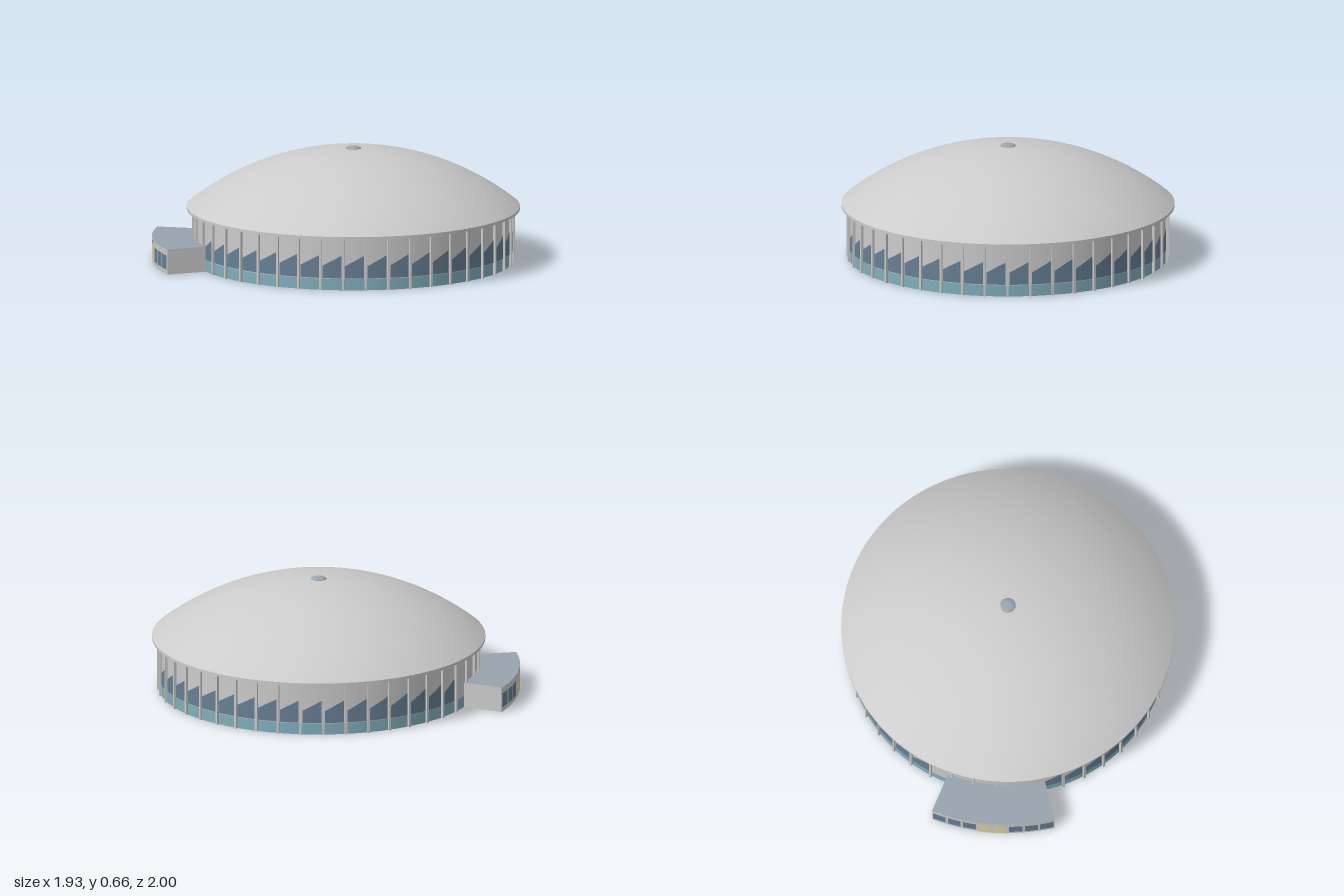
import * as THREE from 'three';

const CX = 0.01, CZ = -0.052;      // centre of the round hall
const WALL_R = 0.906, WALL_H = 0.3, BAND_H = 0.065;
const ROOF_R = 0.948, EAVE_Y = 0.316, APEX_Y = 0.65;
const BAYS = 44, STEP = (Math.PI * 2) / BAYS;
const ANNEX_R = 1.145, ANNEX_H = 0.145;
const rad = THREE.MathUtils.degToRad;
const A0 = rad(-58.7), A1 = rad(-23.2); // annex sector, measured from +z towards +x

const mat = (color) => new THREE.MeshStandardMaterial({ color, side: THREE.DoubleSide });

// Surface from a rule f(u, v) -> [angle, radius, y]
function surface(nu, nv, f) {
  const g = new THREE.PlaneGeometry(1, 1, nu, nv);
  const p = g.attributes.position;
  for (let i = 0; i < p.count; i++) {
    const [a, r, y] = f(p.getX(i) + 0.5, p.getY(i) + 0.5);
    p.setXYZ(i, Math.sin(a) * r, y, Math.cos(a) * r);
  }
  g.computeVertexNormals();
  return g;
}
const lerp = THREE.MathUtils.lerp;

// Curved upright panel whose top may slope from yl to yr
const panel = (r, a0, a1, yb, yl, yr = yl, n = 4) =>
  surface(n, 1, (u, v) => [lerp(a0, a1, u), r, lerp(yb, lerp(yl, yr, u), v)]);

export function createModel() {
  const model = new THREE.Group();
  model.name = 'roundHall';
  model.position.set(CX, 0, CZ);

  const grey = mat(0xcccccc), teal = mat(0x80aebb), glass = mat(0x667f94);
  const slate = mat(0x98a4ae), cream = mat(0xe0d2a8);
  const add = (parent, name, geometry, material) => {
    const m = new THREE.Mesh(geometry, material);
    m.name = name;
    parent.add(m);
    return m;
  };

  // Drum wall with coloured base band
  const drum = (h) => new THREE.CylinderGeometry(WALL_R, WALL_R, h, BAYS * 4, 1, true);
  add(model, 'baseBand', drum(BAND_H), teal).position.y = BAND_H / 2;
  add(model, 'drumWall', drum(WALL_H - BAND_H), grey).position.y = (WALL_H + BAND_H) / 2;

  // Domed roof as a spherical cap
  const rise = APEX_Y - EAVE_Y;
  const sphereR = (ROOF_R ** 2 + rise ** 2) / (2 * rise);
  const half = Math.asin(ROOF_R / sphereR);
  const dome = new THREE.SphereGeometry(sphereR, 128, 32, 0, Math.PI * 2, 0, half);
  add(model, 'domeRoof', dome, grey).position.y = APEX_Y - sphereR;

  // Eave: fascia and soffit
  const fascia = new THREE.CylinderGeometry(ROOF_R, ROOF_R, EAVE_Y - WALL_H, 128, 1, true);
  add(model, 'eaveFascia', fascia, grey).position.y = (EAVE_Y + WALL_H) / 2;
  const soffit = new THREE.RingGeometry(WALL_R, ROOF_R, 128).rotateX(Math.PI / 2);
  add(model, 'eaveSoffit', soffit, grey).position.y = WALL_H;

  // Roof cap
  const cap = add(model, 'roofCap', new THREE.SphereGeometry(0.044, 32, 16), slate);
  cap.scale.y = 0.3;
  cap.position.y = APEX_Y;

  // Pilasters and slanted windows, one per bay; no windows behind the annex
  const pilasters = new THREE.Group(), windows = new THREE.Group();
  pilasters.name = 'pilasters';
  windows.name = 'slantedWindows';
  model.add(pilasters, windows);
  const post = new THREE.BoxGeometry(0.013, WALL_H, 0.018);
  for (let i = 0; i < BAYS; i++) {
    const a = i * STEP;
    const p = add(pilasters, 'pilaster', post, grey);
    p.position.set(Math.sin(a) * 0.911, WALL_H / 2, Math.cos(a) * 0.911);
    p.rotation.y = a;
    if (i >= BAYS - 8 && i < BAYS - 3) continue;
    const g = panel(WALL_R + 0.003, a + STEP * 0.08, a + STEP * 0.92, BAND_H + 0.004, 0.14, 0.2);
    add(windows, 'slantedWindow', g, glass);
  }

  // Entrance annex, a ring sector against the wall
  const annex = new THREE.Group();
  annex.name = 'entranceAnnex';
  model.add(annex);
  add(annex, 'annexFrontWall', panel(ANNEX_R - 0.003, A0, A1, 0, ANNEX_H, ANNEX_H, 32), grey);
  for (const a of [A0, A1]) {
    const g = surface(1, 1, (u, v) => [a, lerp(WALL_R, ANNEX_R - 0.003, a === A1 ? 1 - u : u), v * ANNEX_H]);
    add(annex, 'annexEndWall', g, grey);
  }
  const roof = surface(32, 1, (u, v) => [lerp(A0, A1, u), lerp(ANNEX_R, WALL_R, v), ANNEX_H]);
  add(annex, 'annexRoof', roof, slate);
  add(annex, 'annexRoofEdge', panel(ANNEX_R, A0, A1, ANNEX_H - 0.008, ANNEX_H, ANNEX_H, 32), grey);

  // Eight openings: three windows, a double door, three windows
  const unit = (A1 - A0) / 8;
  for (let i = 0; i < 8; i++) {
    const door = i === 3 || i === 4;
    const a = A0 + i * unit;
    const g = panel(ANNEX_R, a + unit * 0.07, a + unit * 0.93, door ? 0.003 : 0.027, 0.11);
    add(annex, door ? 'entranceDoor' : 'annexWindow', g, door ? cream : glass);
  }

  const root = new THREE.Group();
  root.name = 'domedHall';
  root.add(model);
  return root;
}
